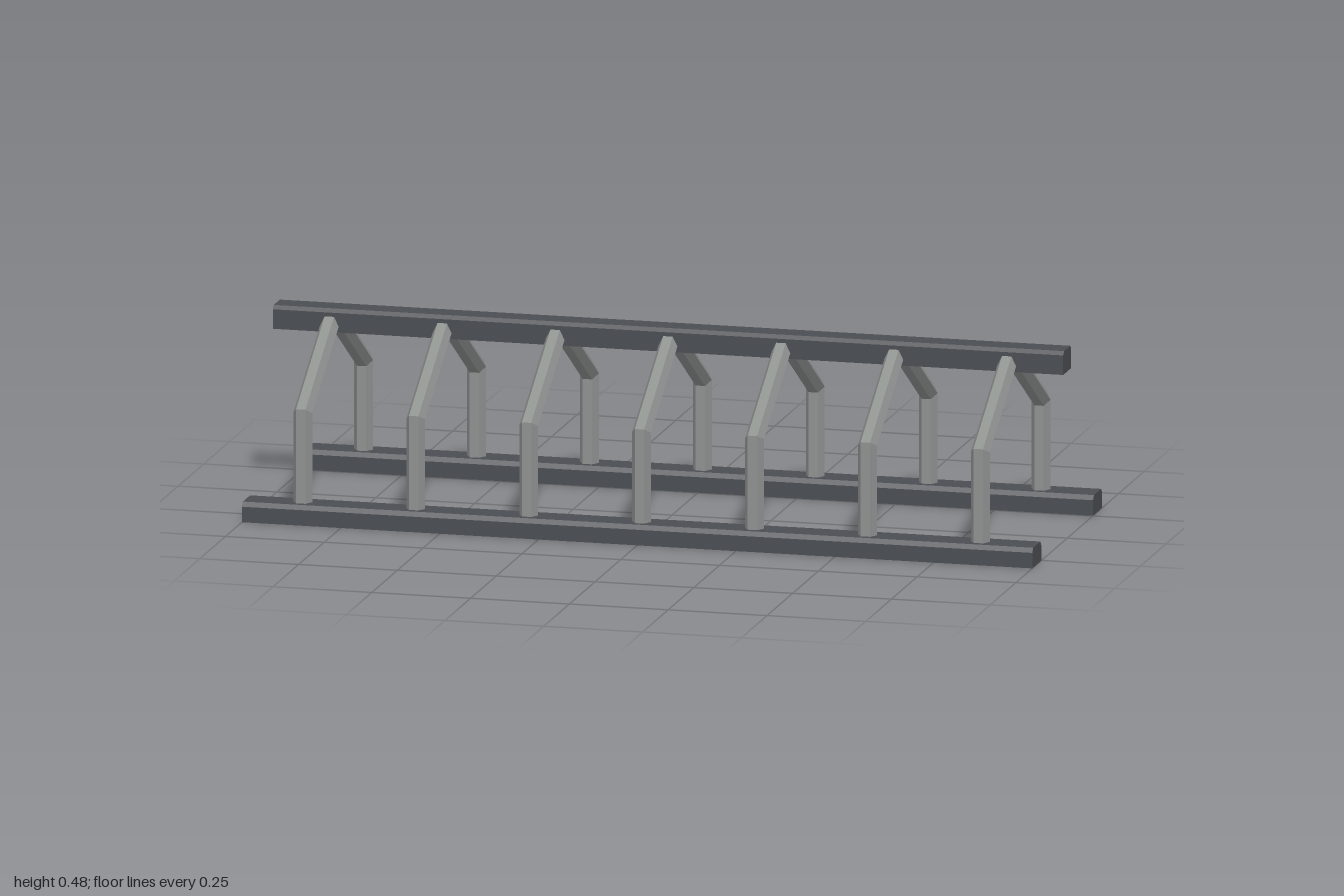
import * as THREE from 'three';

const railDark = new THREE.MeshStandardMaterial({ color: 0x4a4d52 });
railDark.name = 'dark rail grey';
const ribGrey = new THREE.MeshStandardMaterial({ color: 0x8e928f });
ribGrey.name = 'rib grey';

// Long beam along x with its two upper edges chamfered
function beam(name, halfWidth, height, chamferZ, chamferY) {
  const top = halfWidth - chamferZ;
  const shape = new THREE.Shape([
    [-halfWidth, 0], [halfWidth, 0], [halfWidth, height - chamferY],
    [top, height], [-top, height], [-halfWidth, height - chamferY],
  ].map(([x, y]) => new THREE.Vector2(x, y)));
  const geo = new THREE.ExtrudeGeometry(shape, { depth: 2, bevelEnabled: false });
  geo.translate(0, 0, -1).rotateY(Math.PI / 2);
  const mesh = new THREE.Mesh(geo, railDark);
  mesh.name = name;
  return mesh;
}

// Hexagonal bar: upright leg, mitred bend, then a rafter up to the ridge
function ribGeometry() {
  const slope = THREE.MathUtils.degToRad(31.7);
  const legZ = 0.296, bendY = 0.275, endZ = 0.025;
  const endY = bendY + (legZ - endZ) * Math.tan(slope);
  const miter = Math.tan((Math.PI / 2 - slope) / 2);
  const hex = new THREE.CylinderGeometry(0.0238, 0.0238, 2, 6, 2, false, Math.PI / 2);
  const pos = hex.attributes.position;
  for (let i = 0; i < pos.count; i++) {
    const ring = Math.round(pos.getY(i)), out = pos.getZ(i);
    if (ring < 0) pos.setXYZ(i, pos.getX(i), 0.02, legZ + out);
    else if (ring === 0) pos.setXYZ(i, pos.getX(i), bendY + out * miter, legZ + out);
    else pos.setXYZ(i, pos.getX(i), endY + out * Math.cos(slope), endZ + out * Math.sin(slope));
  }
  // separate faces keep the hexagon edges crisp
  const geo = hex.toNonIndexed();
  geo.computeVertexNormals();
  return geo;
}

export function createModel() {
  const model = new THREE.Group();
  model.name = 'ribbedFrame';

  // Ridge beam and the two ground rails
  const ridge = beam('ridgeBeam', 0.039, 0.058, 0.009, 0.009);
  ridge.position.y = 0.419;
  model.add(ridge);
  for (const side of [1, -1]) {
    const rail = beam(side > 0 ? 'frontRail' : 'backRail', 0.044, 0.05, 0.009, 0.011);
    rail.position.z = side * 0.296;
    model.add(rail);
  }

  // Seven evenly spaced pairs of ribs
  const geo = ribGeometry();
  for (let i = -3; i <= 3; i++) {
    for (const side of [1, -1]) {
      const rib = new THREE.Mesh(geo, ribGrey);
      rib.name = side > 0 ? 'frontRib' : 'backRib';
      rib.position.x = i * 2 / 7;
      if (side < 0) rib.rotation.y = Math.PI;
      model.add(rib);
    }
  }
  return model;
}
